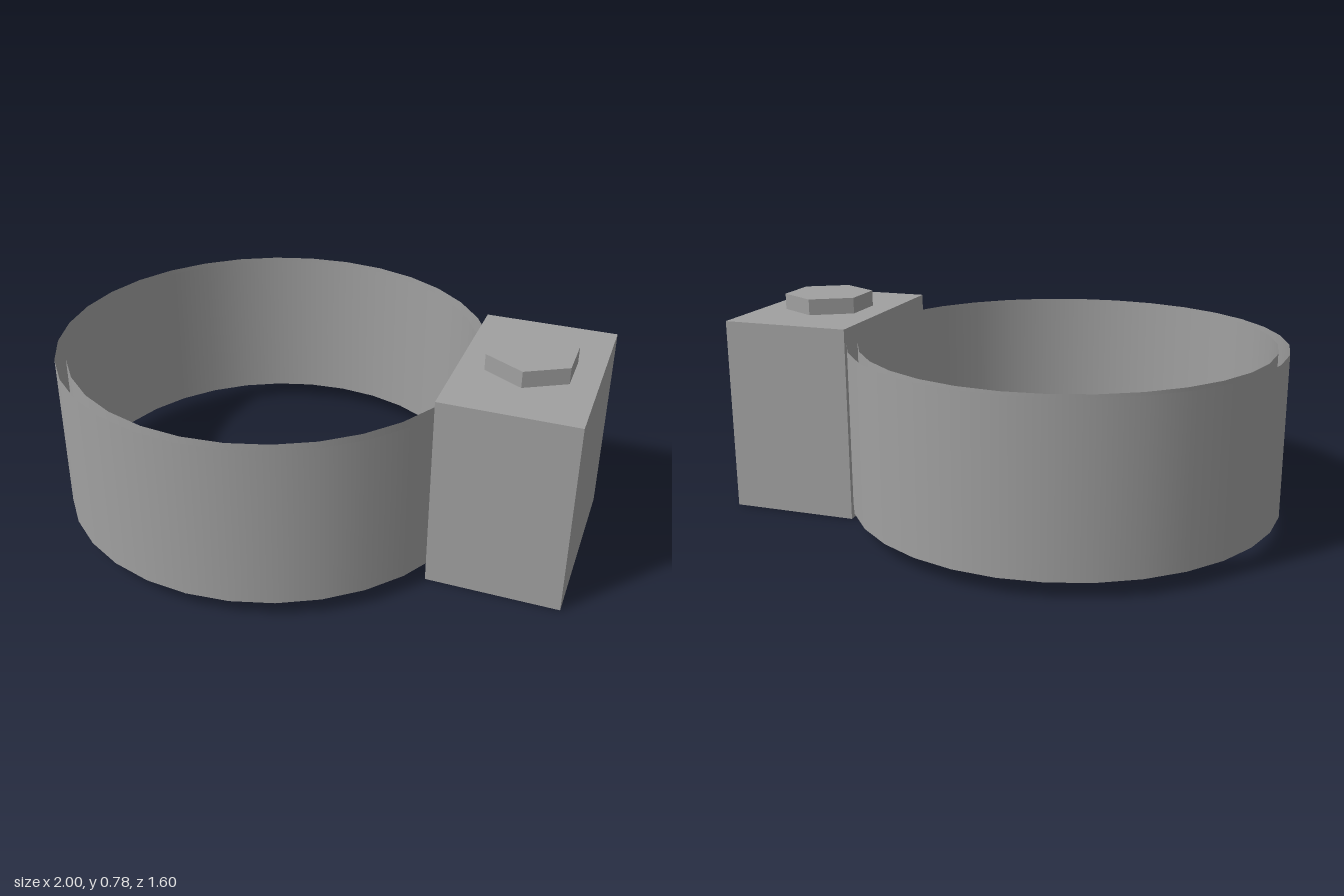
import * as THREE from 'three';

export function createModel() {
  const group = new THREE.Group();
  const grey = new THREE.MeshStandardMaterial({ color: 0xa0a0a0, side: THREE.DoubleSide });
  grey.name = 'steelGrey';

  const add = (name, geometry, x, y) => {
    const mesh = new THREE.Mesh(geometry, grey);
    mesh.name = name;
    mesh.position.set(x, y, 0);
    group.add(mesh);
  };

  // Band: two open concentric walls
  for (const [name, radius] of [['bandOuterWall', 0.8], ['bandInnerWall', 0.76]]) {
    add(name, new THREE.CylinderGeometry(radius, radius, 0.6, 32, 1, true), -0.2, 0.36);
  }

  // Clamp block on the side of the band
  add('clampBlock', new THREE.BoxGeometry(0.48, 0.72, 0.72), 0.76, 0.36);

  // Hexagonal bolt head on top of the block
  const bolt = new THREE.CylinderGeometry(0.167, 0.167, 0.06, 6).toNonIndexed();
  bolt.computeVertexNormals();
  add('boltHead', bolt, 0.76, 0.75);

  return group;
}
